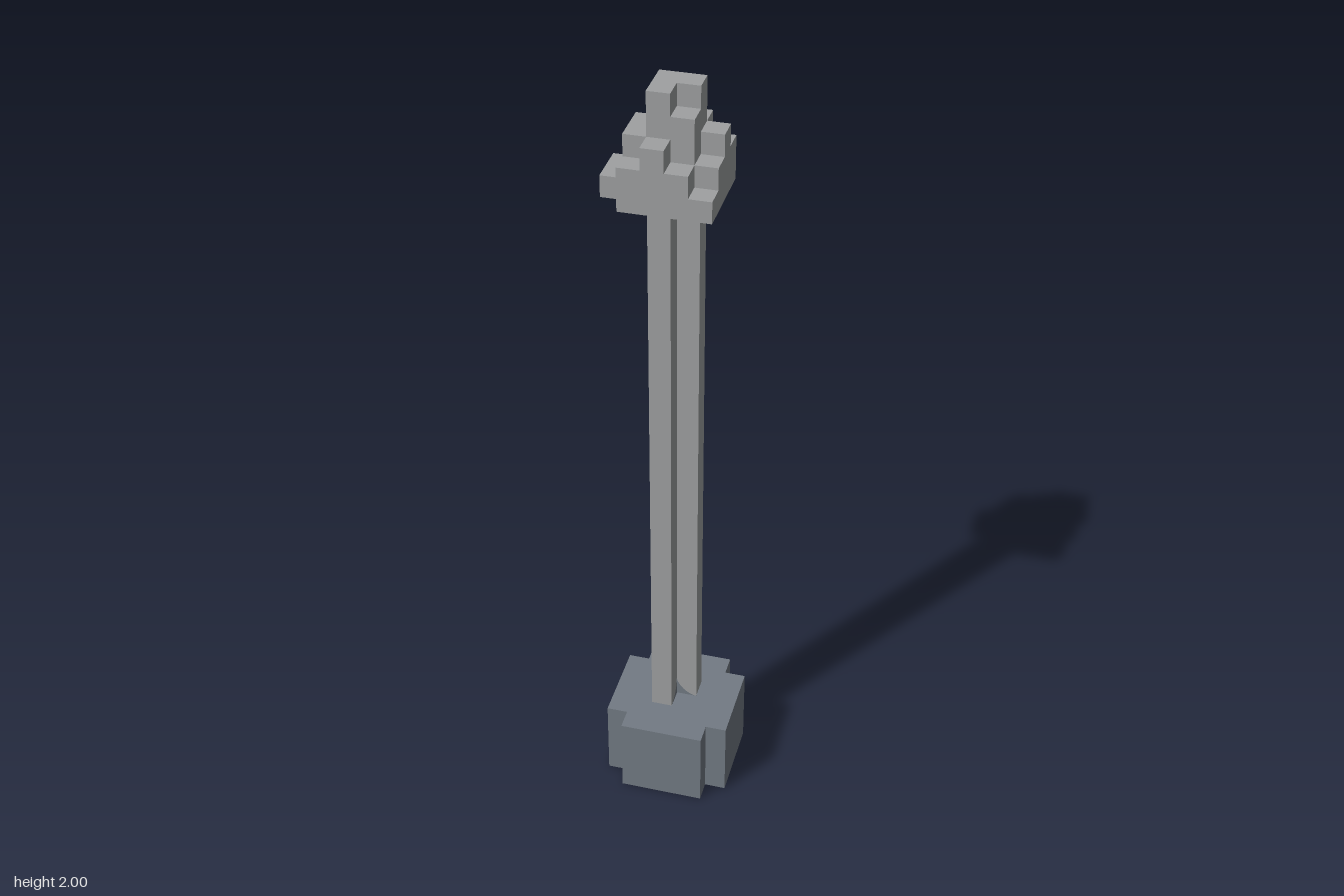
import * as THREE from 'three';

const V = 2 / 37; // size of one block

const lightStone = new THREE.MeshStandardMaterial({ color: 0x9fa1a2 });
lightStone.name = 'light stone';
const darkStone = new THREE.MeshStandardMaterial({ color: 0x737b84 });
darkStone.name = 'dark stone';
const darkStain = new THREE.MeshStandardMaterial({ color: 0x737b84, side: THREE.DoubleSide });
darkStain.name = 'dark stain';

// Upright prism from an outline of [x, z] block corners, between two block heights
function prism(name, outline, y0, y1, material) {
  const shape = new THREE.Shape(outline.map(([x, z]) => new THREE.Vector2(x * V, -z * V)));
  const geometry = new THREE.ExtrudeGeometry(shape, { depth: (y1 - y0) * V, bevelEnabled: false });
  geometry.rotateX(-Math.PI / 2);
  geometry.translate(0, y0 * V, 0);
  const mesh = new THREE.Mesh(geometry, material);
  mesh.name = name;
  return mesh;
}

export function createModel() {
  const model = new THREE.Group();
  model.name = 'pillar';

  // Base: square block with notched corners
  const base = [
    [-2, -3], [2, -3], [2, -2], [3, -2], [3, 2], [2, 2],
    [2, 3], [-2, 3], [-2, 2], [-3, 2], [-3, -2], [-2, -2],
  ];
  model.add(prism('base', base, 0, 4, darkStone));

  // Post: two blocks wide with one quarter cut away along its length
  const ell = [[-1, -1], [1, -1], [1, 0], [0, 0], [0, 1], [-1, 1]];
  model.add(prism('post', ell, 4, 32, lightStone));

  // Head: stepped layers
  const head = new THREE.Group();
  head.name = 'head';
  const layers = [
    [[-2, -2], [-1, -2], [-1, -3], [1, -3], [1, -2], [2, -2], [2, 2],
      [-2, 2], [-2, 1], [-3, 1], [-3, -1], [-2, -1]],
    [[-2, -2], [2, -2], [2, 1], [1, 1], [1, 2], [-2, 2]],
    [[-1, -2], [1, -2], [1, -1], [2, -1], [2, 0], [1, 0], [1, 1],
      [0, 1], [0, 2], [-1, 2], [-1, 1], [-2, 1], [-2, -1], [-1, -1]],
    [[-1, -1], [1, -1], [1, 1], [-1, 1]],
    ell,
  ];
  layers.forEach((outline, i) => {
    head.add(prism('headLayer' + (i + 1), outline, 32 + i, 33 + i, lightStone));
  });
  model.add(head);

  // Dark curved stains at both ends of the cut-away channel
  const corner = new THREE.Shape();
  corner.moveTo(0, 0);
  corner.lineTo(0.05, 0);
  corner.quadraticCurveTo(0.012, 0.012, 0, 0.05);
  const stain = new THREE.ShapeGeometry(corner, 6);
  for (const [y, flip] of [[4 * V, 1], [32 * V, -1]]) {
    for (const turn of [0, -Math.PI / 2]) {
      const mesh = new THREE.Mesh(stain, darkStain);
      mesh.name = 'channelStain';
      mesh.scale.y = flip;
      mesh.rotation.y = turn;
      mesh.position.set(turn ? 0.001 : 0, y, turn ? 0 : 0.001);
      model.add(mesh);
    }
  }
  return model;
}
